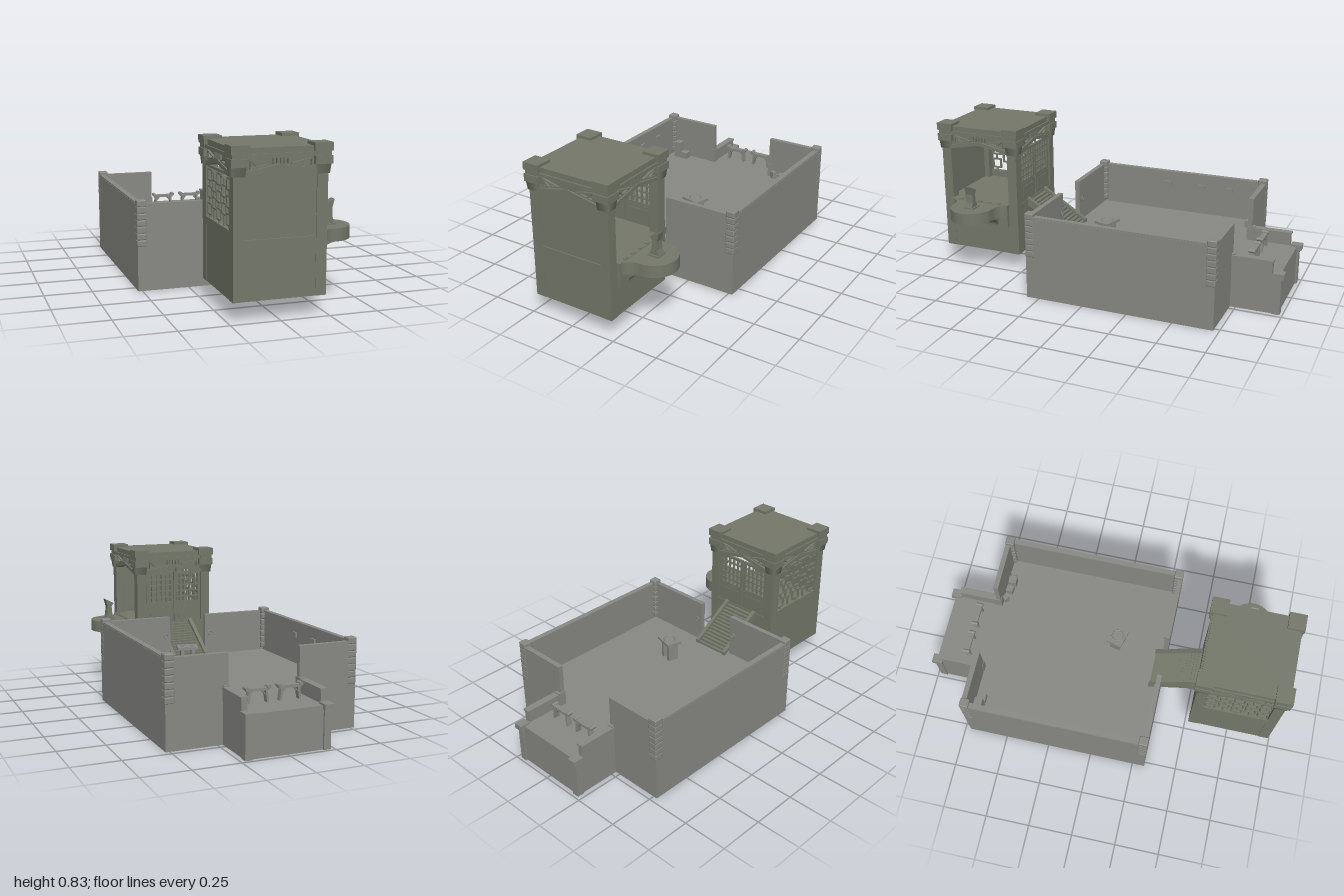
import * as THREE from 'three';
import { RoundedBoxGeometry } from 'three/addons/geometries/RoundedBoxGeometry.js';

export function createModel() {
  const model = new THREE.Group();
  model.name = 'courtyardAndTower';
  const stone = new THREE.MeshStandardMaterial({ color: 0x888884, side: THREE.DoubleSide });
  const green = new THREE.MeshStandardMaterial({ color: 0x74786a, side: THREE.DoubleSide });

  const add = (parent, name, geo, mat) => {
    const m = new THREE.Mesh(geo, mat);
    m.name = name;
    parent.add(m);
    return m;
  };
  // box given by its limits on each axis
  const box = (parent, name, mat, x0, x1, y0, y1, z0, z1) => {
    const m = add(parent, name, new THREE.BoxGeometry(x1 - x0, y1 - y0, z1 - z0), mat);
    m.position.set((x0 + x1) / 2, (y0 + y1) / 2, (z0 + z1) / 2);
    return m;
  };
  // straight bar between two points in an upright plane
  const bar = (parent, name, mat, xa, ya, xb, yb, z, t, d) => {
    const m = add(parent, name, new THREE.BoxGeometry(Math.hypot(xb - xa, yb - ya) + t, t, d), mat);
    m.position.set((xa + xb) / 2, (ya + yb) / 2, z);
    m.rotation.z = Math.atan2(yb - ya, xb - xa);
    return m;
  };
  // outline pushed along z, centred on z = 0
  const prism = (points, depth) => {
    const g = new THREE.ExtrudeGeometry(new THREE.Shape(points.map(p => new THREE.Vector2(...p))),
      { depth, bevelEnabled: false });
    return g.translate(0, 0, -depth / 2);
  };
  const group = (name, parent = model) => {
    const g = new THREE.Group();
    g.name = name;
    parent.add(g);
    return g;
  };

  // ---- walled courtyard, hollow below its floor
  const F = 0.22;
  const yard = group('courtyard');
  box(yard, 'courtyardFloor', stone, -0.51, 0.51, F - 0.01, F, -0.71, 0.31);
  box(yard, 'wallBelowGate', stone, -0.11, 0.11, 0, F, 0.295, 0.32);
  for (const s of [-1, 1]) {
    const span = (name, a, b, ...r) => box(yard, name, stone, Math.min(a * s, b * s), Math.max(a * s, b * s), ...r);
    span('sideWall', 0.495, 0.522, 0, 0.455, -0.72, 0.32);
    span('sideCoping', 0.49, 0.52, 0.455, 0.462, -0.7, 0.3);
    span('frontWall', 0.11, 0.5, 0, 0.46, 0.293, 0.32);
    span('backWall', 0.195, 0.5, 0, 0.46, -0.72, -0.693);
    span('backWallEnd', 0.19, 0.225, F, 0.3, -0.735, -0.69);
    const ring = add(yard, 'gateRing', new THREE.TorusGeometry(0.012, 0.003, 6, 14), stone);
    ring.position.set(0.14 * s, 0.35, 0.287);
    // corner stones
    for (const z of [-0.697, 0.297]) {
      for (let i = 0; i < 7; i++) {
        const q = add(yard, 'cornerStone', new RoundedBoxGeometry(0.05, 0.0345, 0.05, 2, 0.006), stone);
        q.position.set(0.499 * s, 0.252 + i * 0.035, z);
      }
    }
    // rear terrace
    span('terraceWall', 0.2, 0.222, 0, F, -0.98, -0.71);
    span('terraceParapet', 0.195, 0.225, F, 0.288, -0.935, -0.72);
    span('parapetCap', 0.19, 0.23, 0.284, 0.294, -0.94, -0.72);
    span('terracePost', 0.19, 0.228, 0, 0.2, -0.985, -0.945);
    span('terracePostCap', 0.185, 0.235, 0.2, 0.23, -1, -0.94);
  }
  box(yard, 'terraceFloor', stone, -0.21, 0.21, F - 0.01, F, -0.975, -0.7);
  box(yard, 'terraceBackWall', stone, -0.2, 0.2, 0, F, -0.975, -0.955);
  for (const z of [-0.5, -0.33, -0.12]) box(yard, 'wallBracket', stone, -0.497, -0.485, 0.37, 0.4, z - 0.02, z + 0.02);

  // benches with scrolled ends
  for (const x of [-0.093, 0.082]) {
    const b = group('bench');
    b.position.set(x, F, -0.805);
    box(b, 'benchTop', stone, -0.06, 0.06, 0.06, 0.075, -0.014, 0.014);
    for (const s of [-1, 1]) {
      bar(b, 'benchLeg', stone, 0.045 * s, 0.06, 0.052 * s, 0.005, 0, 0.012, 0.03);
      bar(b, 'benchBrace', stone, 0.045 * s, 0.035, 0.025 * s, 0.06, 0, 0.006, 0.012);
      const roll = add(b, 'benchScroll', new THREE.CylinderGeometry(0.01, 0.01, 0.036, 12).rotateX(Math.PI / 2), stone);
      roll.position.set(0.059 * s, 0.076, 0);
    }
  }
  // table with a round inset
  const table = group('table');
  table.position.set(0.11, F, 0.025);
  table.rotation.y = -0.28;
  box(table, 'tableTop', stone, -0.057, 0.057, 0.105, 0.12, -0.045, 0.045);
  for (const s of [-1, 1]) box(table, 'tableLeg', stone, s * 0.03 - 0.01, s * 0.03 + 0.01, 0, 0.105, -0.03, 0.03);
  const disc = add(table, 'tableDisc', new THREE.TorusGeometry(0.032, 0.004, 6, 24).rotateX(Math.PI / 2), stone);
  disc.position.y = 0.12;

  // stone blocks by the rear wall: x, z, width, height, turn
  for (const [x, z, w, h, t] of [[-0.435, -0.658, 0.045, 0.1, 0], [-0.388, -0.655, 0.045, 0.04, 0],
    [0.345, -0.662, 0.045, 0.06, 0.1], [0.295, -0.668, 0.04, 0.04, -0.1], [0.39, -0.668, 0.03, 0.05, 0.6],
    [0.235, -0.68, 0.03, 0.04, -0.5]]) {
    const m = add(yard, 'stoneBlock', new THREE.BoxGeometry(w, h, w), stone);
    m.position.set(x, F + h / 2, z);
    m.rotation.y = t;
  }

  // ---- stair between courtyard and tower
  const stair = group('stair');
  for (const s of [-1, 1]) {
    const g = prism([[-0.25, 0.22], [-0.515, 0.36], [-0.515, 0.405], [-0.25, 0.24]], 0.022).rotateY(Math.PI / 2);
    add(stair, 'stringer', g, green).position.x = 0.102 * s;
  }
  for (let i = 0; i < 14; i++) {
    const z = 0.255 + i * 0.0185, y = 0.232 + i * 0.0115;
    box(stair, 'tread', green, -0.092, 0.092, y - 0.016, y, z, z + 0.02);
  }

  // ---- tower, built on its own axis
  const tower = group('tower');
  tower.position.z = 0.75;
  const H = 0.233, W = 0.178;
  box(tower, 'towerFloor', green, -0.225, 0.225, 0.375, 0.39, -0.225, 0.225);
  box(tower, 'ceiling', green, -0.215, 0.215, 0.765, 0.775, -0.215, 0.215);
  box(tower, 'cornice', green, -0.24, 0.24, 0.77, 0.787, -0.24, 0.24);
  box(tower, 'roof', green, -0.232, 0.232, 0.787, 0.815, -0.232, 0.232);
  for (const sx of [-1, 1]) for (const sz of [-1, 1]) {
    const corner = group('cornerPillar', tower);
    corner.scale.set(sx, 1, sz);
    box(corner, 'pillar', green, W, H, 0.1, 0.69, W, H);
    // flared capital
    const cap = add(corner, 'capital', new THREE.CylinderGeometry(0.05, 0.043, 0.045, 4, 1)
      .rotateY(Math.PI / 4), green);
    cap.position.set(0.208, 0.7075, 0.208);
    box(corner, 'capitalBlock', green, 0.163, 0.249, 0.73, 0.768, 0.163, 0.249);
    box(corner, 'capitalNeck', green, 0.17, 0.243, 0.765, 0.79, 0.17, 0.243);
    box(corner, 'roofCorner', green, 0.158, 0.25, 0.79, 0.83, 0.158, 0.25);
  }

  // each side faces +z in its own group
  const sides = ['frontSide', 'balconySide', 'doorSide', 'latticeSide'].map((name, i) => {
    const g = group(name, tower);
    g.rotation.y = i * Math.PI / 2;
    // gabled lintel with an ornamental truss
    add(g, 'lintelBacking', prism([[-0.18, 0.685], [0, 0.72], [0.18, 0.685], [0.18, 0.775], [-0.18, 0.775]], 0.02), green)
      .position.z = 0.212;
    add(g, 'gableBeam', prism([[-0.18, 0.685], [0, 0.72], [0.18, 0.685], [0.18, 0.705], [0, 0.74], [-0.18, 0.705]], 0.02), green)
      .position.z = 0.227;
    for (const s of [-1, 1]) {
      const p = [[0.055 * s, 0.737], [0.15 * s, 0.76], [0.15 * s, 0.72]];
      p.forEach((a, k) => bar(g, 'trussBar', green, ...a, ...p[(k + 1) % 3], 0.227, 0.006, 0.016));
      bar(g, 'trussBar', green, 0.15 * s, 0.76, 0.115 * s, 0.727, 0.227, 0.006, 0.016);
    }
    for (let k = -2; k <= 2; k++) box(g, 'trussPost', green, k * 0.018 - 0.005, k * 0.018 + 0.005, 0.738, 0.766, 0.22, 0.235);
    box(g, 'lowerWall', green, -W, W, 0.1, 0.39, 0.212, 0.231);
    return g;
  });
  const [front, balconySide, doors, lattice] = sides;
  box(front, 'frontPanel', green, -W, W, 0.392, 0.72, 0.21, 0.228);

  // double doors with a grid above a solid panel
  for (const s of [-1, 1]) {
    const d = group('door', doors);
    d.position.set(0.089 * s, 0, 0.22);
    box(d, 'doorPanel', green, -0.085, 0.085, 0.39, 0.5, -0.007, 0.007);
    box(d, 'doorInset', green, -0.06, 0.06, 0.41, 0.48, -0.01, 0.01);
    for (let i = 0; i < 6; i++) {
      const t = i % 5 ? 0.004 : 0.008, u = -0.077 + i * 0.0308, y = 0.505 + i * 0.036;
      box(d, 'doorBar', green, u - t, u + t, 0.5, 0.69, -0.006, 0.006);
      box(d, 'doorBar', green, -0.083, 0.083, y - t, y + t, -0.006, 0.006);
    }
  }

  // lattice of staggered square frames joined by short bars
  box(lattice, 'windowSill', green, -W, W, 0.39, 0.43, 0.21, 0.232);
  box(lattice, 'windowHead', green, -W, W, 0.678, 0.69, 0.215, 0.225);
  for (let i = 0; i < 5; i++) for (let j = 0; j < 3; j++) {
    const x = (i - 2) * 0.072, y = 0.473 + j * 0.084 + (i % 2 ? 0.04 : 0), r = 0.026;
    if (i % 2 && j === 2) continue;
    const lb = (...p) => bar(lattice, 'latticeBar', green, ...p, 0.22, 0.008, 0.012);
    lb(x - r, y - r, x + r, y - r);
    lb(x - r, y + r, x + r, y + r);
    lb(x - r, y - r, x - r, y + r);
    lb(x + r, y - r, x + r, y + r);
    lb(x, y + r, x, y + 0.058);
    if (j === 0) lb(x, y - r, x, 0.43);
    if (i < 4) lb(x + r, y + 0.018, x + 0.046, y + 0.018);
  }

  // ---- balcony with a rounded end and a coved underside
  const balcony = group('balcony', tower);
  const plan = new THREE.Shape();
  plan.moveTo(0.2, -0.178);
  plan.lineTo(0.25, -0.178);
  plan.quadraticCurveTo(0.262, -0.12, 0.33, -0.12);
  plan.absarc(0.33, 0, 0.12, -Math.PI / 2, Math.PI / 2, false);
  plan.quadraticCurveTo(0.262, 0.12, 0.25, 0.178);
  plan.lineTo(0.2, 0.178);
  const slab = new THREE.ExtrudeGeometry(plan, { depth: 0.065, bevelEnabled: false, curveSegments: 24 }).rotateX(-Math.PI / 2);
  add(balcony, 'balconySlab', slab, green).position.y = 0.326;
  box(balcony, 'balconyBackplate', green, 0.225, 0.253, 0.265, 0.394, -0.178, 0.178);
  const cove = [[0.24, 0.33], [0.24, 0.267]];
  for (let i = 0; i <= 8; i++) {
    const a = i / 8 * Math.PI / 2;
    cove.push([0.253 + 0.09 * (1 - Math.cos(a)), 0.267 + 0.059 * Math.sin(a)]);
  }
  add(balcony, 'balconyCove', prism(cove, 0.236), green);
  for (let i = -2; i <= 2; i++) box(balcony, 'thresholdBlock', green, 0.235, 0.25, 0.39, 0.4, i * 0.06 - 0.01, i * 0.06 + 0.01);

  // pedestal with a slanted head
  const stand = group('pedestal', tower);
  box(stand, 'pedestalBase', green, 0.308, 0.372, 0.388, 0.398, -0.032, 0.032);
  add(stand, 'pedestalStem', prism([[0.312, 0.398], [0.368, 0.398], [0.359, 0.425], [0.356, 0.47], [0.368, 0.518],
    [0.316, 0.49], [0.33, 0.472], [0.326, 0.425]], 0.044), green);
  return model;
}
